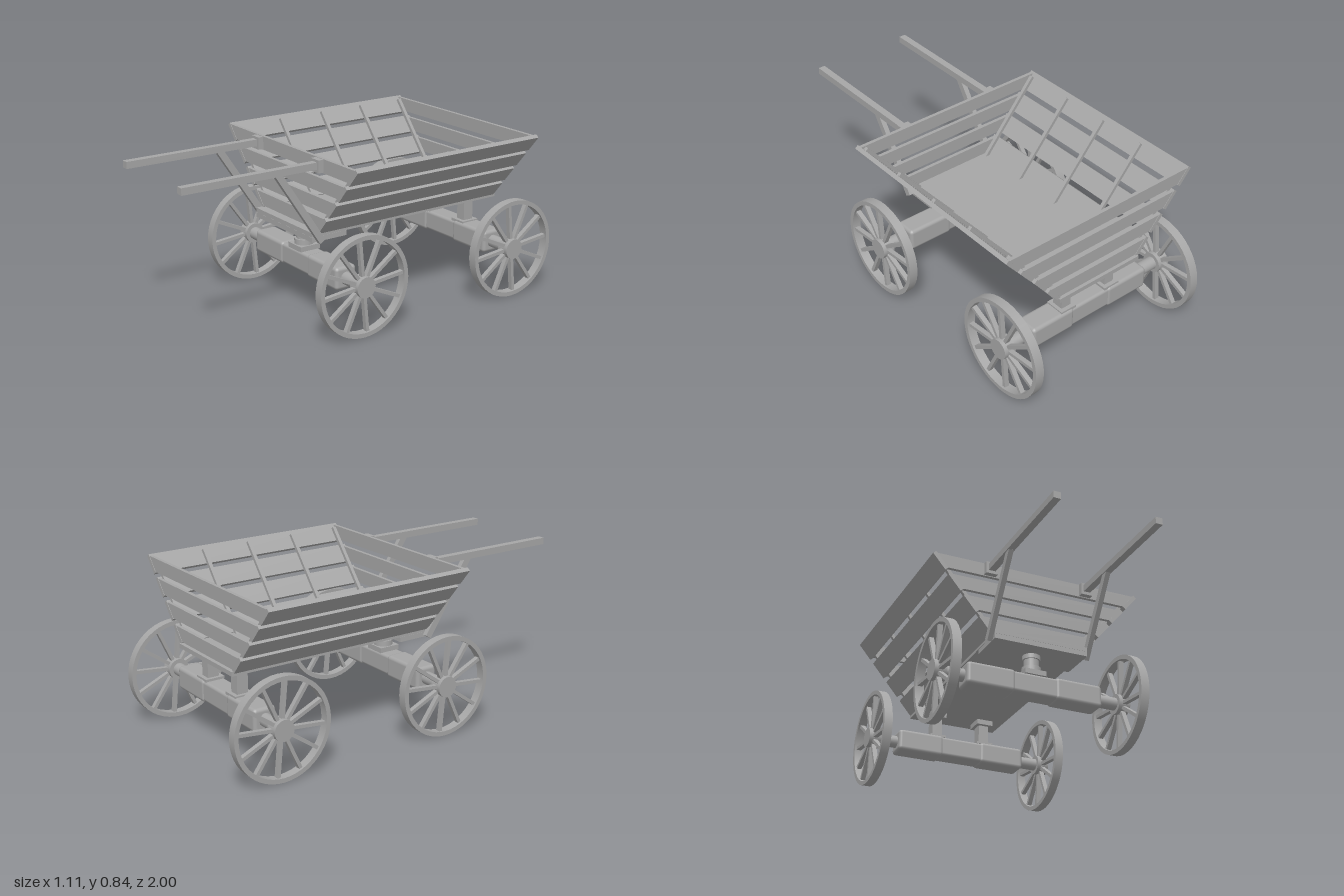
import * as THREE from 'three';
import { RoundedBoxGeometry } from 'three/addons/geometries/RoundedBoxGeometry.js';

export function createModel() {
  const wagon = new THREE.Group();
  wagon.name = 'wagon';
  const wood = new THREE.MeshStandardMaterial({ color: 0xa6a6a6 });
  wood.name = 'greyWood';

  const add = (name, geometry, x, y, z, parent = wagon) => {
    const mesh = new THREE.Mesh(geometry, wood);
    mesh.name = name;
    mesh.position.set(x, y, z);
    parent.add(mesh);
    return mesh;
  };
  const box = (name, w, h, d, x, y, z, parent) => add(name, new THREE.BoxGeometry(w, h, d), x, y, z, parent);

  // Basket dimensions
  const Z_FRONT = 0.265, Z_BACK = -0.838;
  const zMid = (Z_FRONT + Z_BACK) / 2, length = Z_FRONT - Z_BACK;
  const lean = Math.atan2(0.081, 0.0967);
  const sideX = (y) => 0.515 + (y - 0.793) * Math.tan(lean);

  // Floor and the plate under its front
  box('floor', 0.49, 0.022, 1.115, 0, 0.456, -0.29);
  box('turntablePlate', 0.49, 0.025, 0.2, 0, 0.432, 0.2);
  box('frontSill', 0.49, 0.022, 0.05, 0, 0.456, 0.275);

  // Four levels of boards: leaning sides, upright ends cut to the slope
  for (let i = 0; i < 4; i++) {
    const y = 0.503 + i * 0.0967;
    for (const s of [1, -1]) {
      box('sideBoard', 0.021, 0.1, length, s * sideX(y), y, zMid).rotation.z = -s * lean;
    }
    const y0 = y - 0.03, y1 = y + 0.038;
    const x0 = sideX(y0) - 0.012, x1 = sideX(y1) - 0.012;
    const shape = new THREE.Shape([[-x0, y0], [x0, y0], [x1, y1], [-x1, y1]].map((p) => new THREE.Vector2(...p)));
    const board = new THREE.ExtrudeGeometry(shape, { depth: 0.018, bevelEnabled: false });
    add('frontBoard', board, 0, 0, Z_FRONT - 0.02);
    add('backBoard', board, 0, 0, Z_BACK + 0.002);
  }

  // Battens along the inside of the leaning sides
  for (const z of [0.233, -0.03, -0.29, -0.547, -0.807]) {
    for (const s of [1, -1]) {
      const batten = box('batten', 0.018, 0.475, 0.018, s * (sideX(0.64) - 0.023), 0.641, z);
      batten.rotation.z = -s * lean;
    }
  }

  // Shafts, their sockets and slanting braces
  for (const s of [1, -1]) {
    const x = s * 0.258;
    box('shaft', 0.036, 0.034, 0.735, x, 0.8, 0.6325);
    box('shaftSocket', 0.06, 0.062, 0.028, x, 0.798, 0.277);
    const dz = 0.24, dy = 0.36;
    const brace = box('shaftBrace', 0.025, Math.hypot(dz, dy) + 0.01, 0.034, x, 0.607, 0.377);
    brace.rotation.x = Math.atan2(dz, dy);
  }

  // Wheel, with its axis along x
  const makeWheel = () => {
    const wheel = new THREE.Group();
    wheel.name = 'wheel';
    const R = 0.252, r = 0.23, h = 0.0225;
    const corner = [[r, -h], [R, -h], [R, h], [r, h], [r, -h]];
    for (let i = 0; i < 4; i++) {
      const face = new THREE.LatheGeometry([corner[i], corner[i + 1]].map((p) => new THREE.Vector2(...p)), 48);
      add('rim', face, 0, 0, 0, wheel).rotation.z = Math.PI / 2;
    }
    add('hub', new THREE.CylinderGeometry(0.052, 0.052, 0.062, 24), 0, 0, 0, wheel).rotation.z = Math.PI / 2;
    for (let i = 0; i < 12; i++) {
      const spoke = new THREE.BoxGeometry(0.024, 0.2, 0.017);
      spoke.translate(0, 0.135, 0);
      add('spoke', spoke, 0, 0, 0, wheel).rotation.x = (i / 12) * Math.PI * 2 + 0.1;
    }
    return wheel;
  };

  // Axles with thick beams, stubs and wheels
  for (const [name, z] of [['frontAxle', 0.18], ['rearAxle', -0.745]]) {
    const axle = new THREE.Group();
    axle.name = name;
    axle.position.set(0, 0.252, z);
    wagon.add(axle);
    add('beamCentre', new RoundedBoxGeometry(0.3, 0.104, 0.108, 2, 0.015), 0, 0, 0, axle);
    add('axleRod', new THREE.CylinderGeometry(0.032, 0.032, 0.94, 24), 0, 0, 0, axle).rotation.z = Math.PI / 2;
    for (const s of [1, -1]) {
      add('beamEnd', new RoundedBoxGeometry(0.25, 0.114, 0.118, 2, 0.018), s * 0.231, 0, 0, axle);
      const wheel = makeWheel();
      wheel.position.x = s * 0.486;
      axle.add(wheel);
    }
  }

  // Front swivel post
  box('swivelBase', 0.112, 0.026, 0.112, 0, 0.316, 0.18);
  for (const [radius, y0, y1] of [[0.048, 0.325, 0.356], [0.038, 0.35, 0.4], [0.045, 0.396, 0.422]]) {
    add('swivelPost', new THREE.CylinderGeometry(radius, radius, y1 - y0, 24), 0, (y0 + y1) / 2, 0.18);
  }

  // Rear posts with flanges
  for (const s of [1, -1]) {
    const x = s * 0.135, z = -0.745;
    box('rearPost', 0.054, 0.14, 0.058, x, 0.376, z);
    box('postFoot', 0.09, 0.014, 0.1, x, 0.309, z);
    box('postHead', 0.09, 0.028, 0.1, x, 0.432, z);
  }
  return wagon;
}
